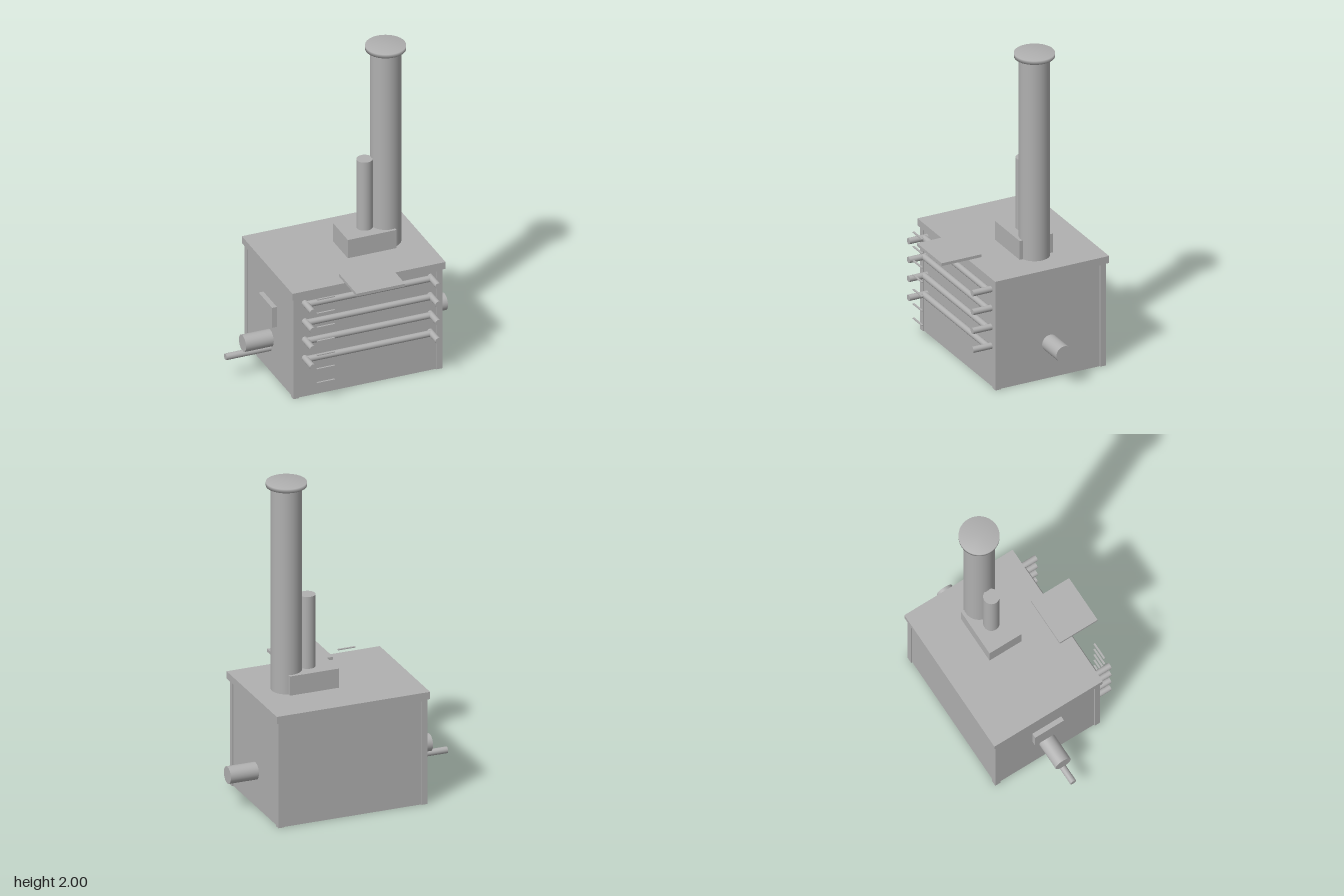
import * as THREE from 'three';

const grey = new THREE.MeshStandardMaterial({ color: 0xb0b0b0 });
grey.name = 'plain grey';

export function createModel() {
  const model = new THREE.Group();
  model.name = 'stove';

  const add = (name, geometry) => {
    const mesh = new THREE.Mesh(geometry, grey);
    mesh.name = name;
    model.add(mesh);
    return mesh;
  };

  // Box given by its lower and upper limits on each axis
  const box = (name, x0, x1, y0, y1, z0, z1) =>
    add(name, new THREE.BoxGeometry(x1 - x0, y1 - y0, z1 - z0))
      .position.set((x0 + x1) / 2, (y0 + y1) / 2, (z0 + z1) / 2);

  // Round rod between two points
  const rod = (name, from, to, radius, sides = 32) => {
    const a = new THREE.Vector3(...from), b = new THREE.Vector3(...to);
    const dir = b.clone().sub(a);
    const mesh = add(name, new THREE.CylinderGeometry(radius, radius, dir.length(), sides));
    mesh.position.copy(a).add(b).multiplyScalar(0.5);
    mesh.quaternion.setFromUnitVectors(new THREE.Vector3(0, 1, 0), dir.normalize());
  };

  // Body: recessed panels between corner posts and thin top rails
  const X0 = -0.416, X1 = 0.519, Z0 = -0.447, Z1 = 0.273, H = 0.66, post = 0.036, inset = 0.008;
  box('bodyPanels', X0 + inset, X1 - inset, 0, H, Z0 + inset, Z1 - inset);
  for (const x of [X0, X1 - post])
    for (const z of [Z0, Z1 - post]) box('cornerPost', x, x + post, 0, H, z, z + post);
  box('topRail', X0, X1, H - 0.012, H, Z0, Z1);
  box('topSlab', -0.427, 0.535, H, 0.705, -0.46, 0.284);

  // Front rails, each on two protruding stubs
  for (const y of [0.618, 0.497, 0.376, 0.255]) {
    rod('frontRail', [-0.342, y, 0.286], [0.446, y, 0.286], 0.019, 24);
    for (const x of [-0.342, 0.446])
      rod('railStub', [x, y, 0.26], [x, y, 0.388], 0.019, 24);
  }

  // Column of small gauge marks in front of the rails
  for (let i = 0; i < 7; i++) {
    const y = 0.686 - i * 0.0918;
    box('gaugeMark', -0.31, -0.2, y - 0.003, y + 0.003, 0.366, 0.377);
  }

  // Shelf plate overhanging the front edge
  box('shelfPlate', -0.099, 0.206, 0.706, 0.724, 0.2, 0.46);

  // Chimney, its base box and the smaller flue
  const CZ = -0.087;
  box('flueBox', 0.034, 0.34, 0.705, 0.825, -0.197, 0.021);
  rod('smallFlue', [0.185, 0.82, CZ], [0.185, 1.275, CZ], 0.048);
  rod('chimney', [0.317, 0.7, CZ], [0.317, 1.98, CZ], 0.091, 48);
  const cap = [[0, 1.976], [0.119, 1.976], [0.119, 2], [0, 2]].map((p) => new THREE.Vector2(...p));
  add('chimneyCap', new THREE.LatheGeometry(cap, 48)).position.set(0.317, 0, CZ);

  // Side pipes and the small side plate
  rod('rightPipe', [0.5, 0.222, CZ], [0.687, 0.222, CZ], 0.052);
  rod('leftPipe', [-0.582, 0.222, CZ], [-0.4, 0.222, CZ], 0.052);
  rod('leftThinPipe', [-0.69, 0.156, CZ], [-0.4, 0.156, CZ], 0.02, 24);
  box('sidePlate', -0.438, -0.4, 0.343, 0.475, -0.187, 0.011);

  return model;
}
